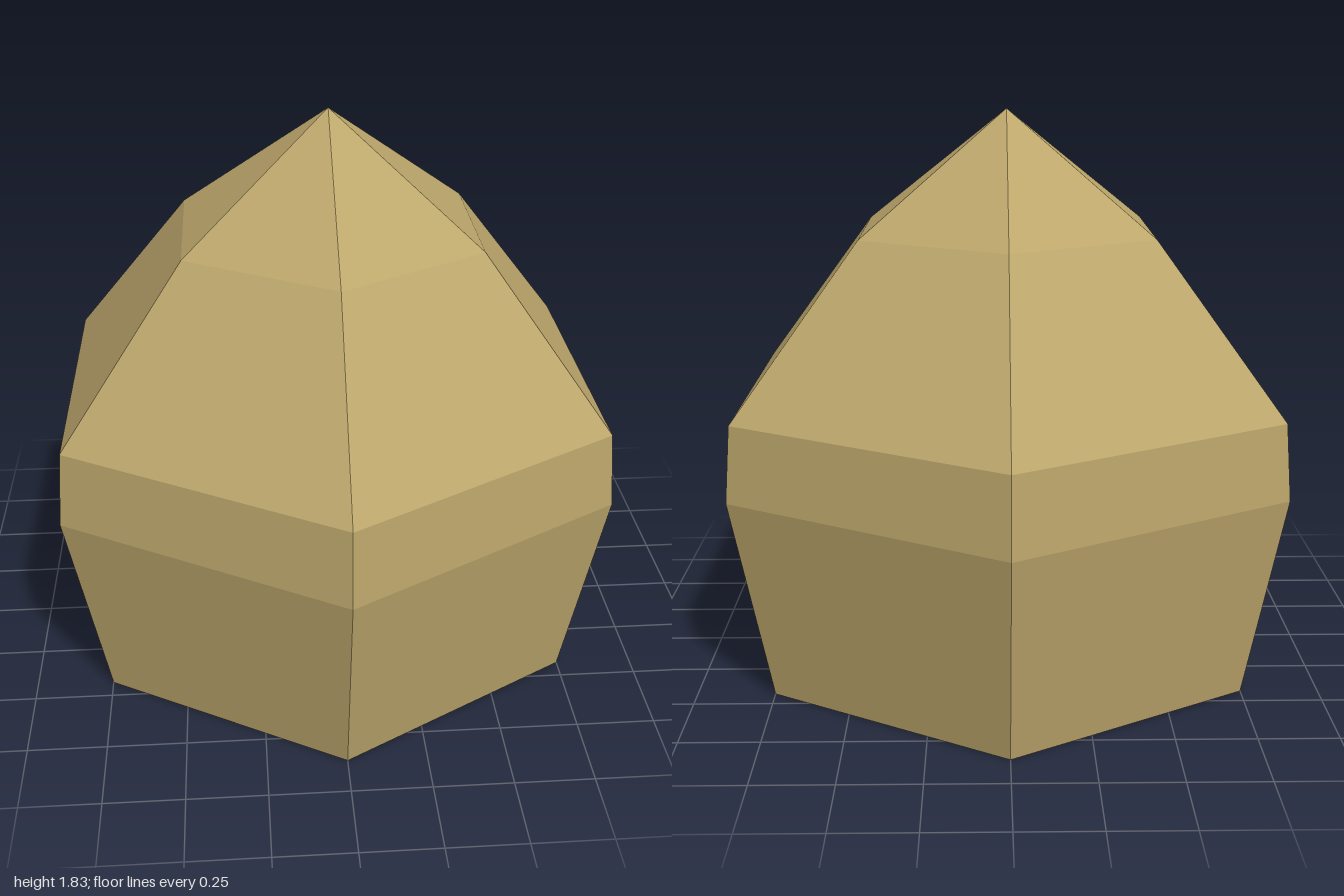
import * as THREE from 'three';

export function createModel() {
  const group = new THREE.Group();
  group.name = 'hexagonalDome';
  const straw = new THREE.MeshStandardMaterial({ color: 0xbca66b });
  straw.name = 'straw';

  // Six-sided body: closed base, flared wall, narrow shoulder, two roof slopes
  const profile = [
    [0, 0], [0.866, 0], [1, 0.67], [0.98, 0.915], [0.535, 1.445], [0, 1.83],
  ].map(([r, y]) => new THREE.Vector2(r, y));

  // Separate the faces so that every facet is flat
  const geometry = new THREE.LatheGeometry(profile, 6).toNonIndexed();
  geometry.computeVertexNormals();

  const body = new THREE.Mesh(geometry, straw);
  body.name = 'body';
  group.add(body);
  return group;
}
